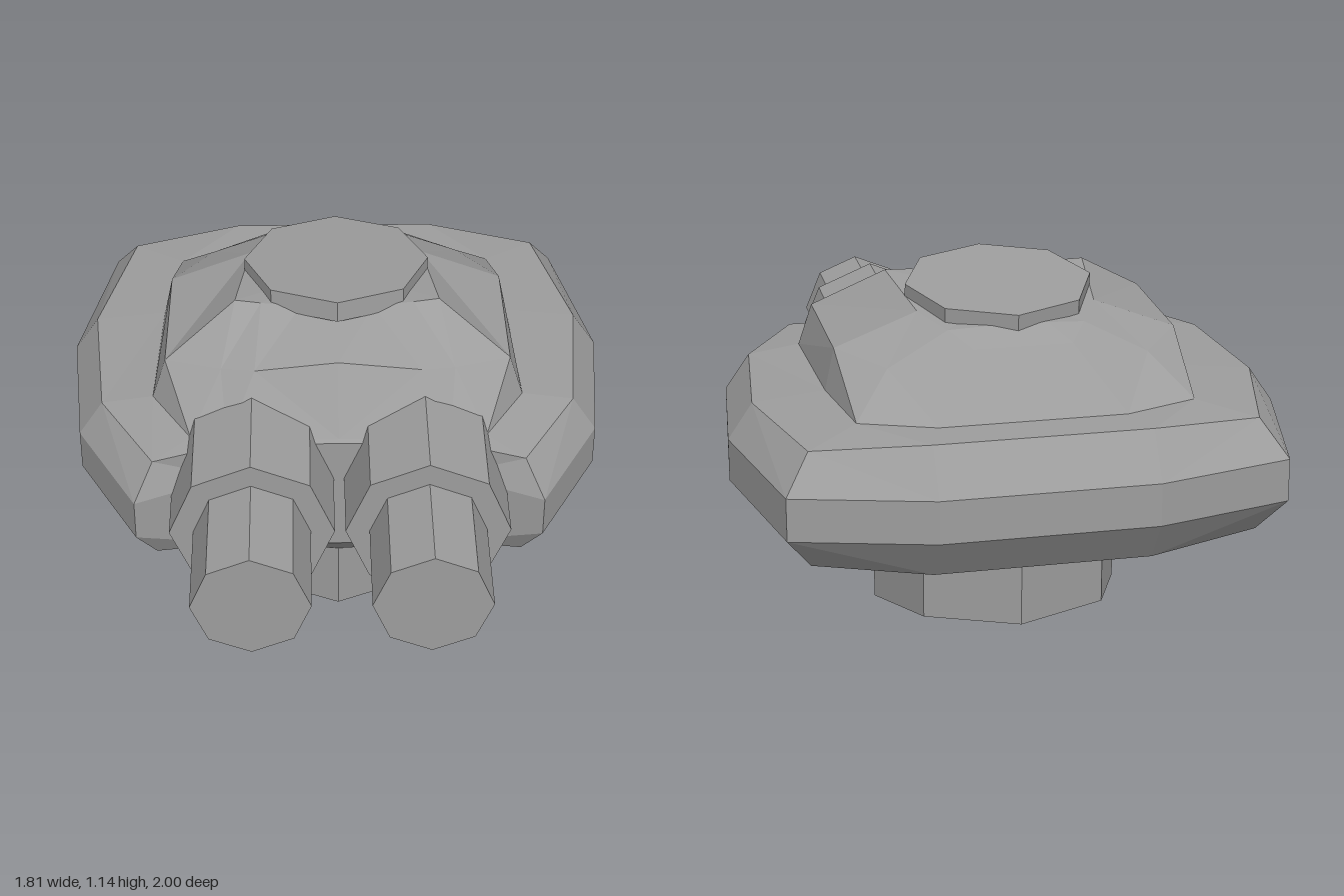
import * as THREE from 'three';

const material = new THREE.MeshStandardMaterial({
  color: 0x9d9d9d, flatShading: true, side: THREE.DoubleSide,
});

// Half outlines [x, z], running from the front centre round the left side to the back.
const socket = [[0, 0.25], [0.3, 0.12], [0.3, 0.12], [0.415, -0.18], [0.415, -0.18], [0.3, -0.475], [0, -0.6]];
const flare = [[0, 0.38], [0.36, 0.38], [0.42, 0.32], [0.5, 0.1], [0.5, -0.22], [0.38, -0.6], [0.16, -0.74]];
const rimInner = [[0, 0.38], [0.36, 0.38], [0.6, 0.44], [0.78, 0.13], [0.825, -0.35], [0.71, -0.81], [0.345, -0.9]];
const rimOuter = [[0, 0.38], [0.36, 0.38], [0.66, 0.515], [0.86, 0.14], [0.905, -0.35], [0.79, -0.885], [0.345, -1]];
const domeBase = [[0, 0.37], [0.36, 0.37], [0.48, 0.34], [0.61, 0.13], [0.59, -0.35], [0.54, -0.67], [0.3, -0.76]];
const domeMid = [[0, 0.24], [0.27, 0.24], [0.38, 0.2], [0.565, 0.12], [0.56, -0.35], [0.42, -0.54], [0.16, -0.6]];
const domeTop = [[0, 0], [0.12, 0], [0.25, 0], [0.335, -0.01], [0.29, -0.35], [0.22, -0.5], [0.1, -0.5]];

// Closed, mirrored loop; y is one height or one height per station.
function loop(outline, y) {
  const half = outline.map(([x, z], i) => [x, Array.isArray(y) ? y[i] : y, z]);
  const mirrored = half.slice(1).reverse().map(([x, h, z]) => [-x, h, z]);
  return [...half, ...mirrored];
}

// Skin between loops listed from the bottom up, with an optional cap centre.
function skin(name, loops, capCentre) {
  const n = loops[0].length;
  const positions = loops.flat(2);
  const index = [];
  for (let j = 0; j < loops.length - 1; j++) {
    for (let i = 0; i < n; i++) {
      const a = j * n + i;
      const b = j * n + (i + 1) % n;
      // Mirror the diagonals left to right, and turn them behind the widest station
      const right = i > 6;
      const rear = i > 3 && i < 9;
      if (right !== rear) index.push(a, b, a + n, b, b + n, a + n);
      else index.push(a, b, b + n, a, b + n, a + n);
    }
  }
  if (capCentre) {
    const last = (loops.length - 1) * n;
    positions.push(...capCentre);
    for (let i = 0; i < n; i++) index.push(last + i, last + (i + 1) % n, last + n);
  }
  const indexed = new THREE.BufferGeometry();
  indexed.setAttribute('position', new THREE.Float32BufferAttribute(positions, 3));
  indexed.setIndex(index);
  const geometry = indexed.toNonIndexed();
  geometry.computeVertexNormals();
  const mesh = new THREE.Mesh(geometry, material);
  mesh.name = name;
  return mesh;
}

// Octagonal rod lying along z.
function rod(name, radius, back, front) {
  const geometry = new THREE.CylinderGeometry(radius, radius, front - back, 8);
  geometry.rotateX(Math.PI / 2);
  geometry.translate(0, 0, (front + back) / 2);
  const mesh = new THREE.Mesh(geometry, material);
  mesh.name = name;
  return mesh;
}

export function createModel() {
  const model = new THREE.Group();
  model.name = 'turret';

  // Hollow socket, raised at the back, flaring out under the hull
  const flareLoop = loop(flare, 0.38);
  model.add(skin('socket', [
    loop(socket, [0, 0, 0, 0, 0, 0.045, 0.045]),
    loop(socket, [0.245, 0.245, 0.245, 0.245, 0.245, 0.29, 0.29]),
    flareLoop,
  ]));

  // Chamfered rim wrapping the sides and back
  const domeFoot = loop(domeBase, [0.81, 0.81, 0.8, 0.81, 0.81, 0.81, 0.81]);
  model.add(skin('hull', [
    flareLoop,
    loop(rimInner, [0.385, 0.385, 0.405, 0.43, 0.46, 0.41, 0.385]),
    loop(rimOuter, 0.527),
    loop(rimOuter, 0.667),
    loop(rimInner, [0.8, 0.8, 0.78, 0.785, 0.785, 0.785, 0.81]),
    domeFoot,
  ]));

  // Faceted dome
  model.add(skin('dome', [
    domeFoot,
    loop(domeMid, [1.02, 0.99, 0.97, 0.95, 0.95, 0.935, 1]),
    loop(domeTop, [1.07, 1.075, 1.09, 1.095, 1.055, 1.035, 1.04]),
  ], [0, 1.06, -0.23]));

  // Octagonal hatch, tilted down to the back
  const hatch = new THREE.Mesh(new THREE.CylinderGeometry(0.307, 0.307, 0.07, 8), material);
  hatch.name = 'hatch';
  hatch.position.set(0, 1.075, -0.227);
  hatch.rotation.x = -0.097;
  model.add(hatch);

  // Twin guns
  for (const side of [1, -1]) {
    const gun = new THREE.Group();
    gun.name = side > 0 ? 'leftGun' : 'rightGun';
    gun.add(rod('sleeve', 0.263, 0.2, 0.647), rod('barrel', 0.187, 0.15, 1));
    gun.position.set(side * 0.28, 0.657, 0);
    model.add(gun);
  }
  return model;
}
